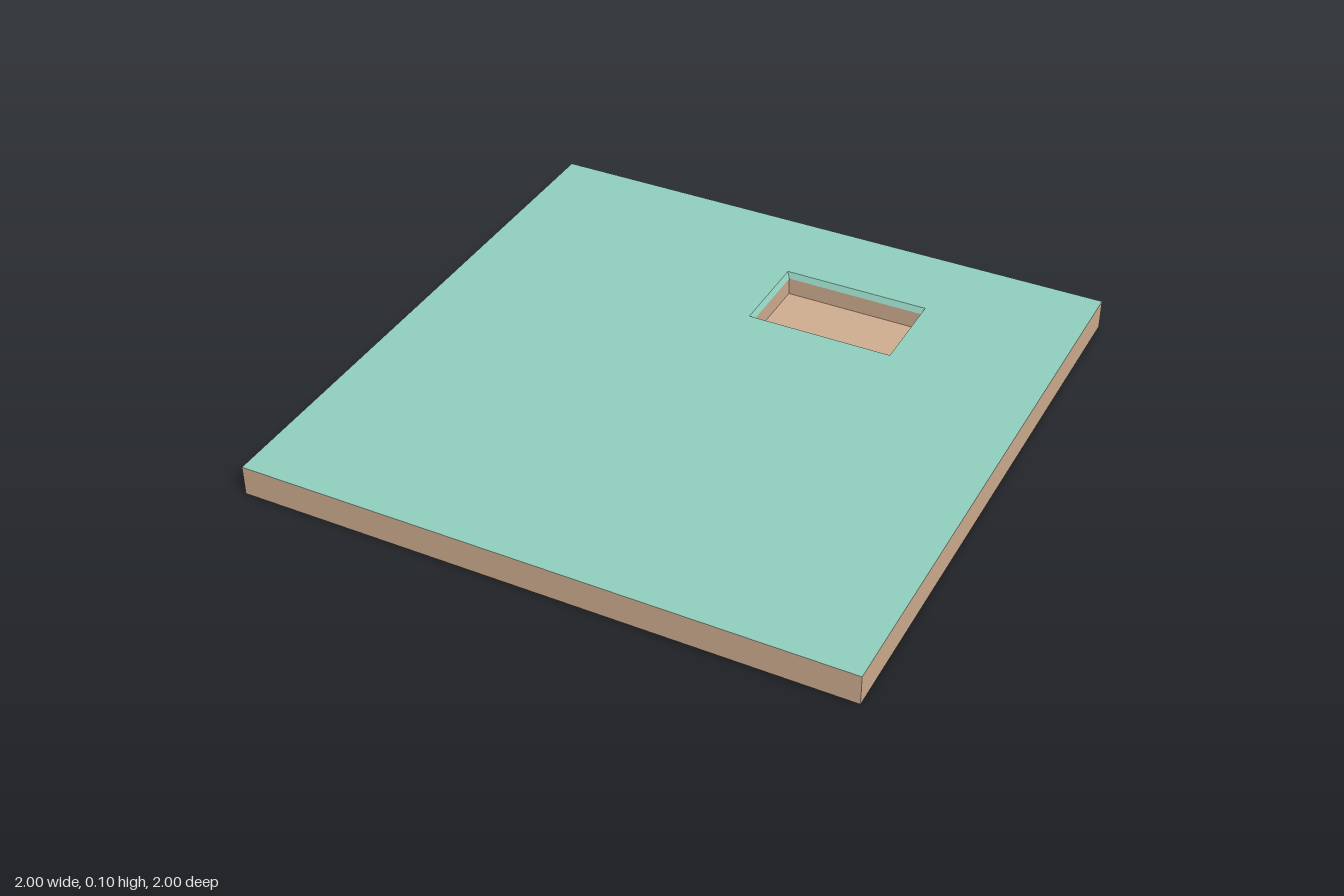
import * as THREE from 'three';

const TOP = 0.1;
const FLOOR = 0.02;
const LIP = 0.08;
const INSET = 0.01;
const board = { x0: -1, x1: 1, z0: -1, z1: 1 };
const pocket = { x0: 0, x1: 0.495, z0: -0.7, z1: -0.4 };

const shrink = (r, d) => ({ x0: r.x0 + d, x1: r.x1 - d, z0: r.z0 + d, z1: r.z1 - d });
const corners = (r) => [[r.x0, r.z1], [r.x1, r.z1], [r.x1, r.z0], [r.x0, r.z0]];

// Four flat walls joining a lower rectangle to an upper one
function wallRing(lower, yLow, upper, yHigh) {
  const lo = corners(lower).map(([x, z]) => [x, yLow, z]);
  const hi = corners(upper).map(([x, z]) => [x, yHigh, z]);
  const pos = [];
  for (let i = 0; i < 4; i++) {
    const j = (i + 1) % 4;
    pos.push(...lo[i], ...lo[j], ...hi[j], ...lo[i], ...hi[j], ...hi[i]);
  }
  const geo = new THREE.BufferGeometry();
  geo.setAttribute('position', new THREE.Float32BufferAttribute(pos, 3));
  geo.computeVertexNormals();
  return geo;
}

// Horizontal rectangular sheet facing up, with an optional rectangular hole
function sheet(rect, y, hole) {
  const points = (r) => corners(r).map(([x, z]) => new THREE.Vector2(x, -z));
  const shape = new THREE.Shape(points(rect));
  if (hole) shape.holes.push(new THREE.Path(points(hole)));
  return new THREE.ShapeGeometry(shape).rotateX(-Math.PI / 2).translate(0, y, 0);
}

export function createModel() {
  const group = new THREE.Group();
  const green = new THREE.MeshStandardMaterial({ color: 0x92d0bf, side: THREE.DoubleSide });
  const tan = new THREE.MeshStandardMaterial({ color: 0xd2af92, side: THREE.DoubleSide });
  const add = (name, geometry, material) => {
    const mesh = new THREE.Mesh(geometry, material);
    mesh.name = name;
    group.add(mesh);
  };
  const inner = shrink(pocket, INSET);

  // Open-bottomed slab
  add('topSheet', sheet(board, TOP, pocket), green);
  add('outerSkirt', wallRing(board, 0, board, TOP), tan);

  // Pocket with a bevelled lip, inner lining and raised floor
  add('pocketBevel', wallRing(inner, LIP, pocket, TOP), green);
  add('pocketInnerWalls', wallRing(inner, FLOOR, inner, LIP), tan);
  add('pocketFloor', sheet(pocket, FLOOR), tan);
  add('pocketOuterWalls', wallRing(pocket, 0, pocket, TOP), tan);

  return group;
}
